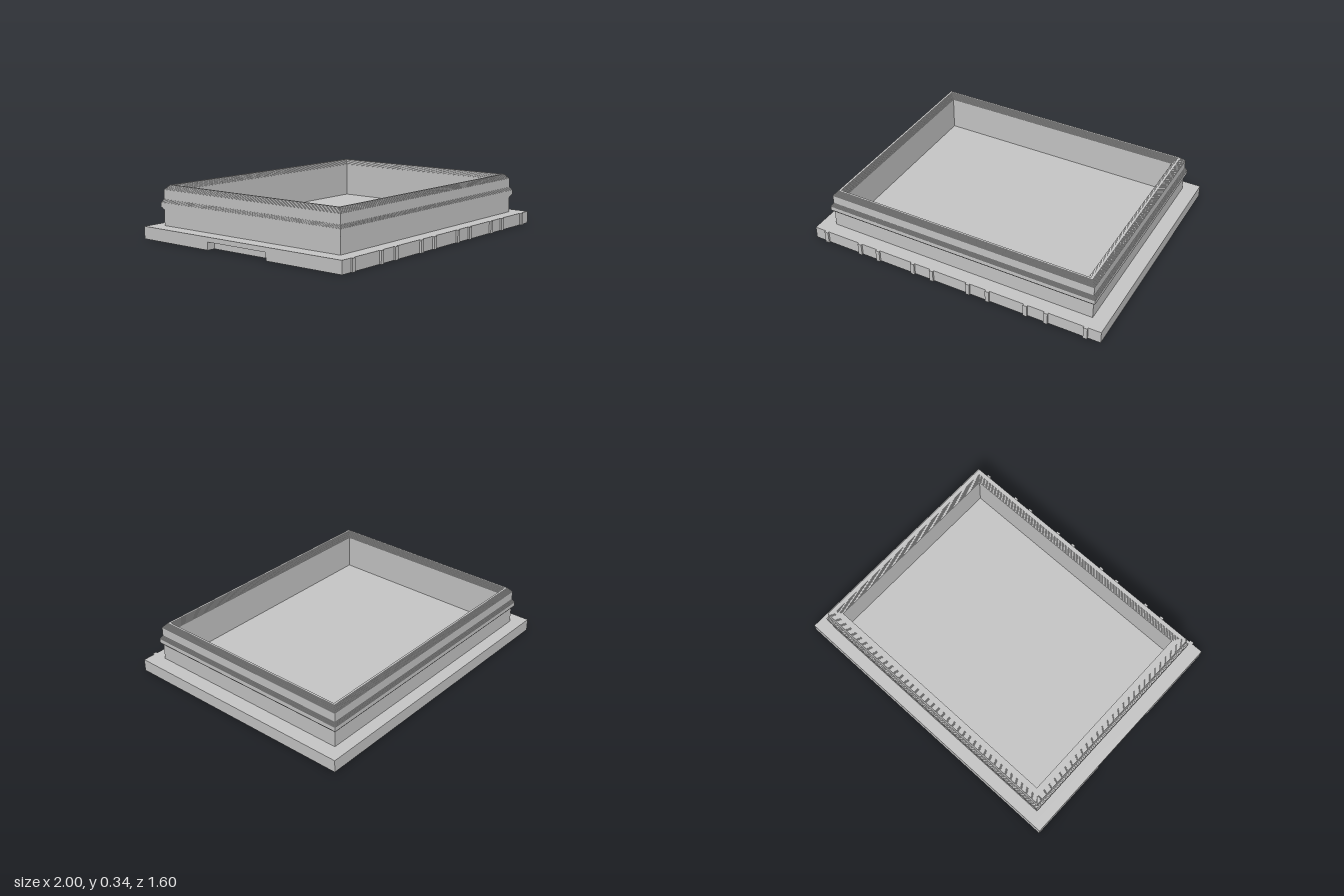
import * as THREE from 'three';

const grey = new THREE.MeshStandardMaterial({ color: 0xc7c7c7 });
grey.name = 'plain grey';

// Box given by its limits on each axis
function block(name, x0, x1, y0, y1, z0, z1) {
  const g = new THREE.BoxGeometry(x1 - x0, y1 - y0, z1 - z0);
  g.translate((x0 + x1) / 2, (y0 + y1) / 2, (z0 + z1) / 2);
  const m = new THREE.Mesh(g, grey);
  m.name = name;
  return m;
}

// Turns the slopes of a profile into fine level steps
function stepped(profile, size) {
  const out = [profile[0]];
  for (let i = 1; i < profile.length; i++) {
    const [d0, y0] = profile[i - 1], [d1, y1] = profile[i];
    const n = d0 === d1 || y0 === y1 ? 1 : Math.ceil(Math.abs(y1 - y0) / size);
    for (let k = 1; k <= n; k++) {
      const d = d0 + (d1 - d0) * k / n, y = y0 + (y1 - y0) * k / n;
      if (n > 1) out.push([out[out.length - 1][0], y]);
      out.push([d, y]);
    }
  }
  return out;
}

// Sweeps a profile of [outward offset, height] around a rectangle with mitred corners
function frame(name, x0, x1, z0, z1, profile) {
  const ring = ([d, y]) => [
    [x0 - d, y, z1 + d], [x1 + d, y, z1 + d], [x1 + d, y, z0 - d], [x0 - d, y, z0 - d],
  ];
  const pos = [];
  for (let i = 0; i < profile.length - 1; i++) {
    const a = ring(profile[i]), b = ring(profile[i + 1]);
    for (let k = 0; k < 4; k++) {
      const n = (k + 1) % 4;
      pos.push(...a[k], ...a[n], ...b[n], ...a[k], ...b[n], ...b[k]);
    }
  }
  const g = new THREE.BufferGeometry();
  g.setAttribute('position', new THREE.Float32BufferAttribute(pos, 3));
  g.computeVertexNormals();
  const m = new THREE.Mesh(g, grey);
  m.name = name;
  return m;
}

export function createModel() {
  const model = new THREE.Group();
  model.name = 'lid';
  const back = -0.8, front = 0.788, top = 0.08;

  // Base plate, with a finger notch under the lip on its right edge
  const inner = -0.945, notch = 0.235, lip = 0.05;
  model.add(block('basePlate', inner, 1, 0, top, back, front));
  model.add(block('rightEdgeBack', -1, inner, 0, top, back, -notch));
  model.add(block('rightEdgeFront', -1, inner, 0, top, notch, front));
  model.add(block('notchLip', -1, inner, lip, top, -notch, notch));

  // Grip ribs in pairs along the front edge
  const ribs = new THREE.Group();
  ribs.name = 'gripRibs';
  for (const x of [-0.91, -0.655, -0.52, -0.265, -0.13, 0.125, 0.26, 0.515, 0.65, 0.905]) {
    ribs.add(block('gripRib', x - 0.013, x + 0.013, 0, top, front, 0.8));
  }
  model.add(ribs);

  // Upright rim: snap ridge outside, finely stepped bevels at the crest, plain inner wall
  model.add(frame('rim', -0.904, 0.904, -0.719, 0.699, stepped([
    [0, top], [0, 0.178], [0.015, 0.2], [0.015, 0.225], [0, 0.248], [0, 0.305],
    [-0.03, 0.338], [-0.04, 0.338], [-0.07, 0.305], [-0.07, top],
  ], 0.0045)));
  return model;
}
